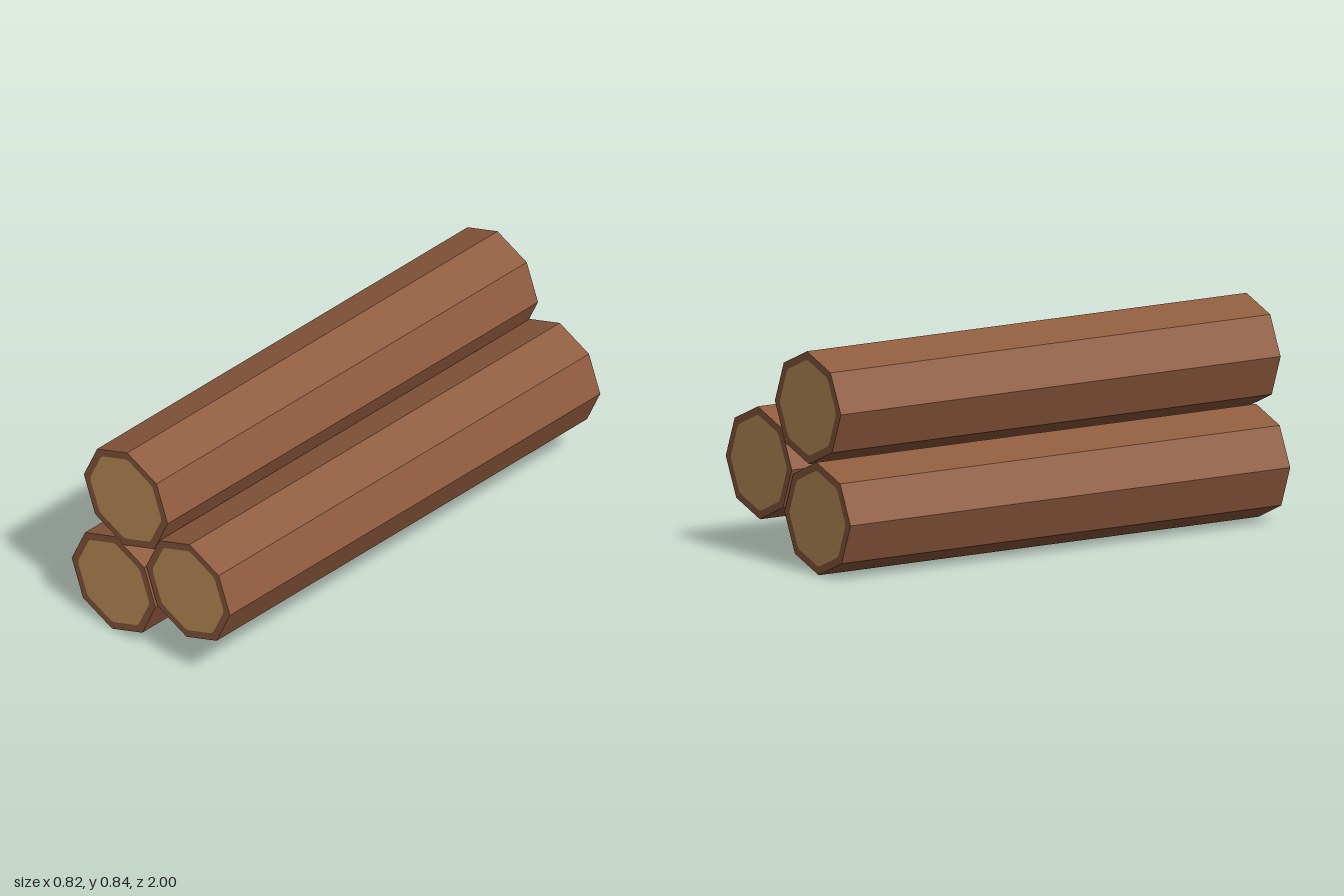
import * as THREE from 'three';

const SIDES = 8;
const RADIUS = 0.2175;
const WOOD_RADIUS = 0.186;
const HALF_LENGTH = 1;

const bark = new THREE.MeshStandardMaterial({ color: 0x8f5b3e });
bark.name = 'bark brown';
const wood = new THREE.MeshStandardMaterial({ color: 0xc8985f });
wood.name = 'cut wood tan';

// Corners of a regular octagon with points on the axes
function octagon(radius) {
  return Array.from({ length: SIDES }, (_, i) => {
    const a = (i / SIDES) * Math.PI * 2;
    return new THREE.Vector2(Math.cos(a) * radius, Math.sin(a) * radius);
  });
}

// Each corner is replaced by two points slightly along its edges
function clipCorners(points, t) {
  return points.flatMap((p, i) => {
    const prev = points[(i + points.length - 1) % points.length];
    const next = points[(i + 1) % points.length];
    return [p.clone().lerp(prev, t), p.clone().lerp(next, t)];
  });
}

function addMesh(parent, name, geometry, material) {
  const mesh = new THREE.Mesh(geometry, material);
  mesh.name = name;
  parent.add(mesh);
  return mesh;
}

// Faceted bark tube along z
const tube = new THREE.CylinderGeometry(RADIUS, RADIUS, HALF_LENGTH * 2, SIDES, 1, true)
  .rotateX(Math.PI / 2).toNonIndexed();
tube.computeVertexNormals();

// End faces: a rim of bark around a disc of cut wood
const woodOutline = clipCorners(octagon(WOOD_RADIUS), 0.06);
const rimShape = new THREE.Shape(octagon(RADIUS));
rimShape.holes.push(new THREE.Path(woodOutline));
const rim = new THREE.ShapeGeometry(rimShape);
const disc = new THREE.ShapeGeometry(new THREE.Shape(woodOutline));

function createLog(name, x, y) {
  const log = new THREE.Group();
  log.name = name;
  addMesh(log, 'barkSides', tube, bark);
  for (const end of ['front', 'back']) {
    const cap = new THREE.Group();
    cap.name = end + 'End';
    addMesh(cap, 'barkRim', rim, bark);
    addMesh(cap, 'cutWood', disc, wood);
    cap.position.z = end === 'front' ? HALF_LENGTH : -HALF_LENGTH;
    cap.rotation.y = end === 'front' ? 0 : Math.PI;
    log.add(cap);
  }
  // Slightly flattened and rolled
  log.scale.y = 0.985;
  log.rotation.z = THREE.MathUtils.degToRad(-2);
  log.position.set(x, y, 0);
  return log;
}

export function createModel() {
  const model = new THREE.Group();
  model.name = 'logPile';
  model.add(
    createLog('lowerLog', -0.193, 0.215),
    createLog('upperLog', -0.13, 0.628),
    createLog('sideLog', 0.193, 0.366),
  );
  return model;
}
